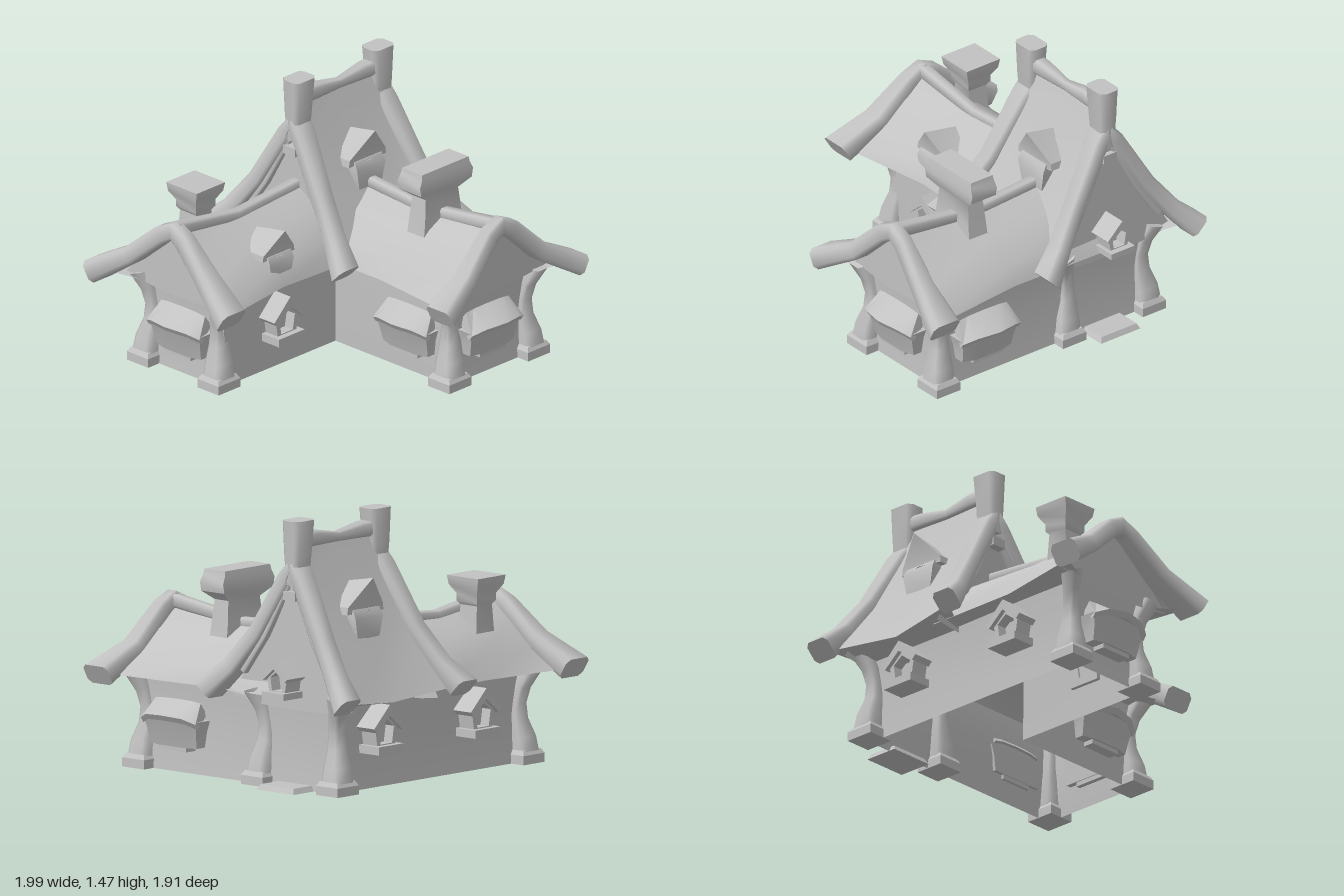
import * as THREE from 'three';
import { toCreasedNormals } from 'three/addons/utils/BufferGeometryUtils.js';

const clay = new THREE.MeshStandardMaterial({ color: 0xc2c2c2, side: THREE.DoubleSide });
clay.name = 'grey clay';

function add(parent, name, geo, x = 0, y = 0, z = 0) {
  const m = new THREE.Mesh(geo, clay);
  m.name = name;
  m.position.set(x, y, z);
  parent.add(m);
  return m;
}

// Skin over rings of equal length: 'solid' has strip caps, 'tube' has none, 'sheet' leaves each ring open
function loft(rings, crease = 0.8, kind = 'solid') {
  const m = rings[0].length, p = rings.flat(), idx = [], last = (rings.length - 1) * m;
  for (let k = 0; k < rings.length - 1; k++)
    for (let i = 0; i < (kind === 'sheet' ? m - 1 : m); i++) {
      const a = k * m + i, b = k * m + (i + 1) % m;
      idx.push(a, b, b + m, a, b + m, a + m);
    }
  for (let i = 0; kind === 'solid' && i < m / 2 - 1; i++) {
    const [a, b, c, d] = [i, i + 1, m - 2 - i, m - 1 - i];
    idx.push(a, c, b, a, d, c);
    idx.push(last + a, last + b, last + c, last + a, last + c, last + d);
  }
  // turn the skin outward if its volume comes out negative
  const v = p.map(q => new THREE.Vector3(...q));
  let vol = 0;
  for (let i = 0; i < idx.length; i += 3) vol += v[idx[i]].dot(v[idx[i + 1]].clone().cross(v[idx[i + 2]]));
  if (vol < 0) idx.reverse();
  const g = new THREE.BufferGeometry();
  g.setAttribute('position', new THREE.Float32BufferAttribute(p.flat(), 3));
  g.setIndex(idx);
  return toCreasedNormals(g, crease);
}

// Stack of rectangles: [y, width, depth, offsetX, offsetZ]
const stack = (levels, crease = 0.7) => loft(levels.map(([y, w, d, ox = 0, oz = 0]) =>
  [[-1, -1], [1, -1], [1, 1], [-1, 1]].map(([a, b]) => [ox + a * w / 2, y, oz + b * d / 2])), crease);

// Beam with rounded edges along points [x, y, z, width along axis, thickness]
const section = [[0.5, 0.3], [0.36, 0.5], [-0.36, 0.5], [-0.5, 0.3], [-0.5, -0.3], [-0.36, -0.5], [0.36, -0.5], [0.5, -0.3]];
function beam(pts, axis) {
  const U = new THREE.Vector3(...axis), P = pts.map(p => new THREE.Vector3(...p.slice(0, 3)));
  return loft(pts.map((p, i) => {
    const T = P[Math.min(i + 1, P.length - 1)].clone().sub(P[Math.max(i - 1, 0)]);
    const V = T.cross(U).normalize();
    return section.map(([u, v]) => P[i].clone().addScaledVector(U, u * p[3]).addScaledVector(V, v * p[4]).toArray());
  }), 1.1);
}

const mirrorX = half => [...half.slice(1).reverse().map(([x, ...r]) => [-x, ...r]), ...half];

// Roof skin with soffit: each station is a half profile of [across, y, along] from ridge to wall
const roof = stations => loft(stations.map(mirrorX), 0.9, 'sheet');

// Gable panel with a sagging lower edge
function gable(w, y0, midW, midY, top) {
  const s = new THREE.Shape();
  s.moveTo(-w, y0);
  s.quadraticCurveTo(0, y0 - 0.07, w, y0);
  s.lineTo(midW, midY); s.lineTo(0, top); s.lineTo(-midW, midY);
  return new THREE.ShapeGeometry(s, 8);
}

function place(parent, name, [x, y, z], rotY, scale = 1) {
  const g = new THREE.Group();
  g.name = name;
  g.position.set(x, y, z);
  g.rotation.y = rotY;
  g.scale.setScalar(scale);
  parent.add(g);
  return g;
}

// Little house-shaped window facing +z, sill at y = 0
function windowBox(parent, name, pos, rotY, scale = 1, deep = 0.13) {
  const g = place(parent, name, pos, rotY, scale);
  const poly = pts => pts.map(p => new THREE.Vector2(...p));
  const ex = (shape, depth) => new THREE.ExtrudeGeometry(shape, { depth, bevelEnabled: false });
  const frame = new THREE.Shape(poly([[-0.07, 0.03], [0.07, 0.03], [0.09, 0.15], [0, 0.22], [-0.09, 0.15]]));
  frame.holes.push(new THREE.Path(poly([[-0.045, 0.05], [-0.06, 0.14], [0, 0.185], [0.06, 0.14], [0.045, 0.05]])));
  add(g, 'windowFrame', ex(frame, deep * 0.8));
  add(g, 'windowPane', new THREE.BoxGeometry(0.13, 0.13, 0.008), 0, 0.1, deep * 0.3);
  const hood = new THREE.Shape(poly([[-0.125, 0.145], [-0.1, 0.12], [0, 0.205], [0.1, 0.12], [0.125, 0.145], [0, 0.265]]));
  add(g, 'windowHood', ex(hood, deep));
  add(g, 'windowSill', new THREE.BoxGeometry(0.2, 0.045, deep + 0.02), 0, 0.022, deep / 2);
}

// Roof dormer facing +z: solid hood whose gable leans forward, over a small boxed window
function dormer(parent, name, pos, rotY, scale) {
  const g = place(parent, name, pos, rotY, scale);
  const ring = (z, lean, drop) => [[-0.125, 0, z], [-0.12, 0.035, z], [0, 0.17 - drop, z + lean],
    [0.12, 0.035, z], [0.125, 0, z], [0, 0.01, z + lean * 0.3]];
  add(g, 'dormerHood', loft([ring(-0.14, -0.03, 0.04), ring(0, 0.05, 0)], 0.5));
  add(g, 'dormerWindow', stack([[-0.12, 0.15, 0.16, 0, -0.06], [-0.02, 0.19, 0.17, 0, -0.06], [0.02, 0.18, 0.15, 0, -0.07]]));
}

// Bay window with flower trough and drooping awning, facing +z
function bay(parent, name, x, z, rotY) {
  const g = place(parent, name, [x, 0, z], rotY);
  add(g, 'bayBracket', new THREE.BoxGeometry(0.2, 0.04, 0.09), 0, 0.145, 0.03);
  const front = [[-0.19, 0.08], [-0.1, 0.11], [0.1, 0.11], [0.19, 0.08]];
  add(g, 'bayTrough', loft([[0.15, 0.88, 0.8], [0.24, 0.94, 1.05], [0.3, 1.04, 1.25]].map(([y, w, d]) =>
    [...front.map(([a, b]) => [a * w, y, b * d]), [0.19 * w, y, -0.02], [-0.19 * w, y, -0.02]]), 0.5));
  const strip = [[-0.2, -0.03, 0.11], [-0.13, 0, 0.15], [0, 0.01, 0.18], [0.13, 0, 0.15], [0.2, -0.03, 0.11]];
  add(g, 'bayAwning', loft(strip.map(([a, dy, out]) => [
    [a, 0.32 + dy, out], [a * 0.82, 0.4 + dy * 0.2, 0.03], [a * 0.82, 0.34 + dy * 0.4, -0.02], [a, 0.29 + dy, out - 0.02]]), 0.6));
}

export function createModel() {
  const model = new THREE.Group();
  model.name = 'cottage';

  // Hollow L-shaped walls, pinched at mid height
  const plan = [[-0.74, -0.68], [0.76, -0.68], [0.76, -0.14], [0.76, 0.72], [0.14, 0.72], [0.14, -0.14], [-0.74, -0.14]];
  add(model, 'walls', loft([[0, 1], [0.28, 0.975], [0.52, 1]].map(([y, k]) =>
    plan.map(([x, z]) => [x * k, y, z * k])), 0.5, 'tube'));

  // Roofs: local x runs across the ridge, local z along it
  const west = place(model, 'westWing', [0, 0, -0.41], Math.PI / 2);
  const tower = place(model, 'tower', [0, 0, -0.41], Math.PI / 2);
  const front = place(model, 'frontWing', [0.45, 0, 0], 0);
  add(west, 'westRoof', roof([
    [[0, 0.88, -0.82], [0.14, 0.76, -0.82], [0.29, 0.63, -0.83], [0.45, 0.51, -0.87], [0.27, 0.49, -0.8]],
    [[0, 0.82, -0.35], [0.16, 0.74, -0.35], [0.31, 0.62, -0.35], [0.36, 0.5, -0.35], [0.27, 0.49, -0.35]],
    [[0, 0.86, 0.2], [0.16, 0.76, 0.2], [0.31, 0.63, 0.2], [0.37, 0.49, 0.2], [0.27, 0.48, 0.2]]]));
  add(front, 'frontRoof', roof([
    [[0, 0.83, -0.35], [0.16, 0.74, -0.35], [0.32, 0.61, -0.35], [0.38, 0.5, -0.35], [0.31, 0.48, -0.35]],
    [[0, 0.8, 0.25], [0.16, 0.72, 0.25], [0.32, 0.61, 0.25], [0.37, 0.5, 0.25], [0.31, 0.49, 0.25]],
    [[0, 0.85, 0.78], [0.14, 0.74, 0.78], [0.28, 0.62, 0.79], [0.45, 0.51, 0.82], [0.31, 0.49, 0.77]]]));
  const towerEnd = (s, out) => [[0, 1.36, s], [0.08, 1.13, s + out * 0.1], [0.24, 0.83, s + out * 0.5],
    [0.46, 0.52, s + out], [0.27, 0.47, s + out * 0.2]];
  add(tower, 'towerRoof', roof([
    towerEnd(0.13, -0.13),
    [[0, 1.32, 0.44], [0.13, 1.02, 0.44], [0.31, 0.66, 0.44], [0.41, 0.48, 0.44], [0.27, 0.47, 0.44]],
    towerEnd(0.76, 0.13)]));

  // Gables
  add(west, 'westGable', gable(0.4, 0.5, 0.2, 0.7, 0.84), 0, 0, -0.79);
  add(front, 'frontGable', gable(0.4, 0.52, 0.2, 0.67, 0.82), 0, 0, 0.77);
  for (const s of [0.11, 0.79]) add(tower, 'towerGable', gable(0.44, 0.47, 0.22, 0.83, 1.24), 0, 0, s);

  // Flared barge boards: half path [across, y, along, width, thickness]
  const barge = (g, half) => add(g, 'bargeBoard', beam(mirrorX(half), [0, 0, 1]));
  barge(west, [[0, 0.87, -0.82, 0.09, 0.1], [0.08, 0.83, -0.825, 0.1, 0.1], [0.28, 0.66, -0.85, 0.14, 0.1], [0.505, 0.52, -0.905, 0.18, 0.13]]);
  barge(front, [[0, 0.87, 0.79, 0.08, 0.1], [0.08, 0.83, 0.79, 0.09, 0.1], [0.28, 0.64, 0.81, 0.12, 0.1], [0.52, 0.51, 0.855, 0.18, 0.12]]);
  for (const [s, d] of [[0.13, -1], [0.75, 1]]) {
    barge(tower, [[0, 1.23, s, 0.13, 0.09], [0.05, 1.15, s + d * 0.01, 0.13, 0.09], [0.24, 0.83, s + d * 0.05, 0.11, 0.09],
      [0.38, 0.64, s + d * 0.1, 0.12, 0.1], [0.505, 0.515, s + d * 0.155, 0.15, 0.13]]);
    add(tower, 'apexPost', beam([[0, 1.12, s, 0.13, 0.08], [0, 1.28, s, 0.135, 0.11], [0, 1.47, s - d * 0.005, 0.16, 0.125]], [0, 0, 1]));
    add(tower, 'collarBeam', new THREE.BoxGeometry(0.09, 0.05, 0.06), 0, 1.06, s + d * 0.04);
    // battens under the barge boards
    for (const m of [-1, 1]) add(tower, 'batten', beam([[m * 0.03, 1.12, s + d * 0.04, 0.04, 0.04],
      [m * 0.18, 0.83, s + d * 0.06, 0.04, 0.04], [m * 0.32, 0.62, s + d * 0.08, 0.04, 0.04]], [0, 0, 1]));
  }

  // Ridge beams
  const ridge = (g, pts) => add(g, 'ridgeBeam', beam(pts.map(([s, y, w]) => [0, y, s, w, w]), [1, 0, 0]));
  ridge(west, [[-0.82, 0.88, 0.07], [-0.35, 0.815, 0.06], [0.2, 0.86, 0.06]]);
  ridge(front, [[-0.25, 0.84, 0.06], [0.25, 0.8, 0.06], [0.78, 0.87, 0.07]]);
  ridge(tower, [[0.08, 1.36, 0.09], [0.26, 1.36, 0.08], [0.44, 1.345, 0.05], [0.62, 1.36, 0.08], [0.8, 1.36, 0.09]]);

  // Corner posts on footing stones, bowing inward at mid height
  for (const [x, z, sx, sz] of [[0.14, 0.72, -1, 1], [0.75, 0.72, 1, 1], [-0.74, -0.16, -1, 1],
    [-0.74, -0.69, -1, -1], [0.75, -0.15, 1, 1], [0.75, -0.7, 1, -1]]) {
    add(model, 'footingStone', stack([[0, 0.17, 0.16], [0.05, 0.17, 0.16], [0.075, 0.14, 0.13]], 0.5), x, 0, z);
    const levels = [[0.06, 0, 0.14], [0.14, -0.005, 0.125], [0.24, -0.02, 0.09], [0.33, -0.02, 0.075], [0.42, -0.005, 0.08], [0.52, 0.03, 0.1]];
    add(model, 'cornerPost', beam(levels.map(([y, o, w]) => [x + sx * o, y, z + sz * o, w, w]), [1, 0, 0]));
  }

  // Windows, dormers and bays
  const back = Math.PI, side = Math.PI / 2;
  windowBox(model, 'frontWindow', [-0.33, 0.18, -0.15], 0);
  for (const x of [-0.33, 0.44]) windowBox(model, 'backWindow', [x, 0.2, -0.67], back);
  windowBox(model, 'gableWindow', [0.79, 0.51, -0.4], side, 0.8, 0.18);
  dormer(model, 'westDormer', [-0.34, 0.66, -0.1], 0, 0.98);
  dormer(model, 'towerFrontDormer', [0.44, 0.95, -0.19], 0, 1.15);
  dormer(model, 'towerBackDormer', [0.44, 0.95, -0.62], back, 1.15);
  bay(model, 'frontBay', 0.42, 0.7, 0);
  bay(model, 'eastBay', 0.75, 0.44, side);
  bay(model, 'innerBay', 0.15, 0.44, -side);
  bay(model, 'westBay', -0.73, -0.41, -side);

  // Doorstep
  add(model, 'doorstep', stack([[0, 0.2, 0.27], [0.03, 0.17, 0.24]]), 0.82, 0, -0.4);

  // Chimneys
  add(model, 'frontChimney', stack([[0.66, 0.32, 0.13], [0.8, 0.28, 0.12], [0.93, 0.25, 0.1], [0.98, 0.39, 0.17],
    [1.03, 0.41, 0.17], [1.07, 0.37, 0.16], [1.1, 0.36, 0.15]]), 0.44, 0, 0.32);
  add(model, 'westChimney', stack([[0.6, 0.16, 0.14], [0.87, 0.12, 0.12], [0.89, 0.15, 0.15],
    [0.93, 0.15, 0.15], [0.98, 0.21, 0.21], [1.03, 0.22, 0.23]]), -0.54, 0, -0.53);
  return model;
}
